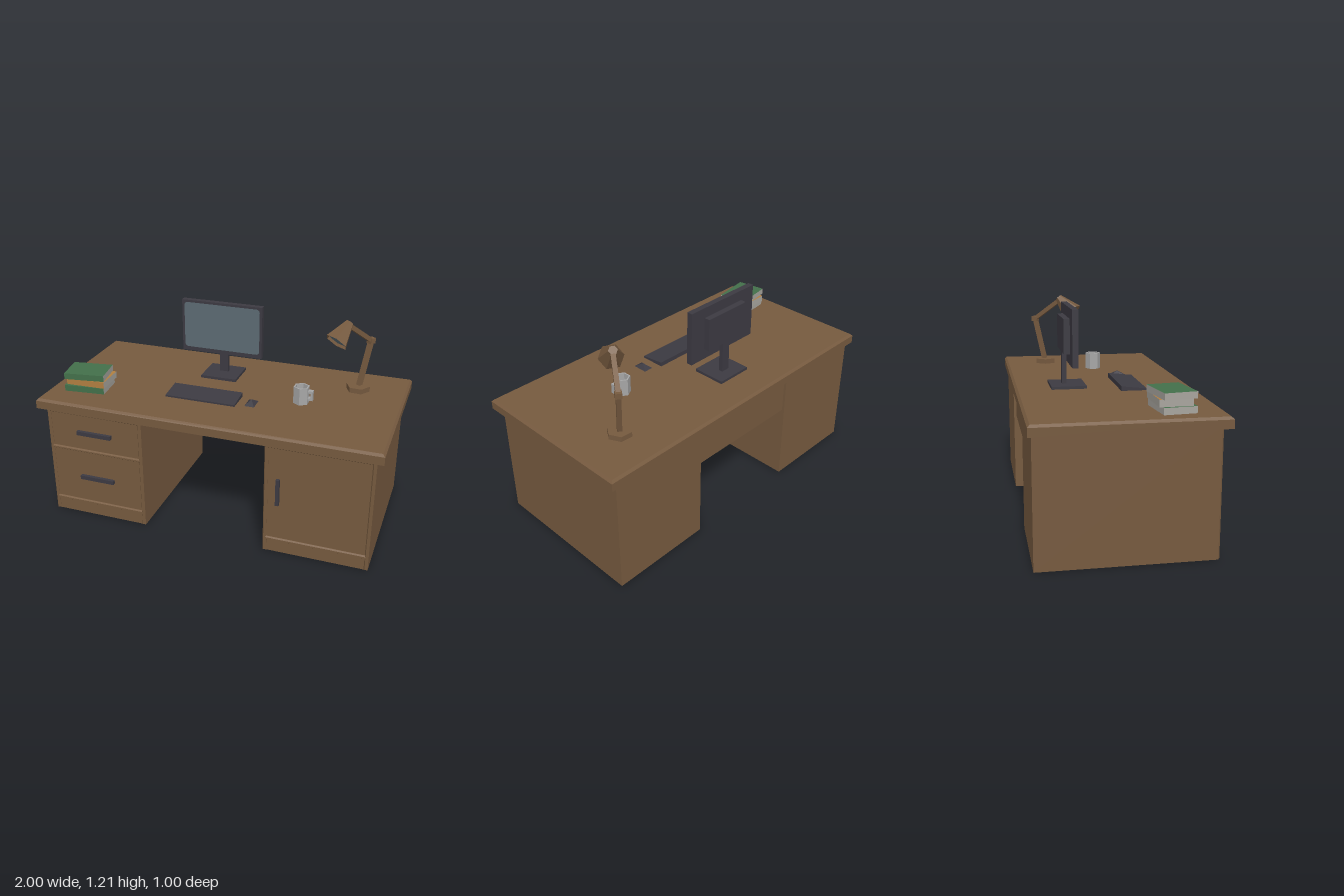
import * as THREE from 'three';

const mat = (name, color) => new THREE.MeshStandardMaterial({ name, color, flatShading: true, side: THREE.DoubleSide });

export function createModel() {
  const wood = mat('wood', 0x765a3f);
  const dark = mat('darkPlastic', 0x3c3a42);
  const glass = mat('screenGlass', 0x5c6b73);
  const green = mat('greenCover', 0x43704a);
  const orange = mat('orangeCover', 0xb27f40);
  const paper = mat('paper', 0xa8a59e);
  const ceramic = mat('ceramic', 0xa6a6a6);

  const root = new THREE.Group();
  root.name = 'desk';
  const add = (name, geo, material, pos = [0, 0, 0], parent = root) => {
    const m = new THREE.Mesh(geo, material);
    m.name = name;
    m.position.set(...pos);
    parent.add(m);
    return m;
  };
  // Box given by its lower and upper limits on each axis
  const box = (name, material, [x0, x1], [y0, y1], [z0, z1], parent) =>
    add(name, new THREE.BoxGeometry(x1 - x0, y1 - y0, z1 - z0), material,
      [(x0 + x1) / 2, (y0 + y1) / 2, (z0 + z1) / 2], parent);
  // Move every vertex of a geometry by a rule
  const reshape = (geo, rule) => {
    const p = geo.attributes.position, v = new THREE.Vector3();
    for (let i = 0; i < p.count; i++) {
      v.fromBufferAttribute(p, i);
      rule(v);
      p.setXYZ(i, v.x, v.y, v.z);
    }
    const out = geo.toNonIndexed();
    out.computeVertexNormals();
    return out;
  };
  const polygon = (pts, Type = THREE.Shape) => new Type(pts.map(p => new THREE.Vector2(...p)));
  const rect = (x0, x1, y0, y1) => polygon([[x0, y0], [x0, y1], [x1, y1], [x1, y0]], THREE.Path);

  // Desktop with a chamfered upper edge
  add('desktop', reshape(new THREE.BoxGeometry(2, 0.06, 1, 1, 2, 1), v => {
    if (v.y > 0.02) { v.x *= 0.987; v.z *= 0.974; }
    else if (v.y > -0.01) v.y = 0.017;
  }), wood, [0, 0.72, 0]);

  // Pedestals: a body and a bevelled front frame with openings and a toe notch
  const pedestal = (name, x0, x1, openings) => {
    const g = new THREE.Group();
    g.name = name;
    root.add(g);
    box('body', wood, [x0, x1], [0, 0.695], [-0.48, 0.452], g);
    const a = x0 + 0.022, b = x1 - 0.022;
    const frame = polygon([[x0, 0], [a, 0], [a, 0.07], [b, 0.07], [b, 0], [x1, 0], [x1, 0.695], [x0, 0.695]]);
    openings.forEach(([lo, hi]) => frame.holes.push(rect(a, b, lo, hi)));
    add('frontFrame', new THREE.ExtrudeGeometry(frame, {
      depth: 0.004, bevelEnabled: true, bevelSegments: 1,
      bevelThickness: 0.008, bevelSize: 0.006, bevelOffset: -0.006,
    }), wood, [0, 0, 0.45], g);
    return g;
  };
  const drawers = pedestal('drawerPedestal', -0.96, -0.365, [[0.095, 0.422], [0.443, 0.66]]);
  const cupboard = pedestal('cupboardPedestal', 0.36, 0.96, [[0.095, 0.66]]);
  for (const y of [0.257, 0.552])
    box('drawerHandle', dark, [-0.77, -0.555], [y - 0.012, y + 0.012], [0.452, 0.472], drawers);
  box('doorHandle', dark, [0.43, 0.45], [0.315, 0.475], [0.452, 0.472], cupboard);
  box('modestyPanel', wood, [-0.37, 0.365], [0.47, 0.695], [-0.465, -0.44]);

  // Monitor
  const monitor = new THREE.Group();
  monitor.name = 'monitor';
  root.add(monitor);
  box('standBase', dark, [-0.215, 0.005], [0.75, 0.766], [-0.3, -0.1], monitor);
  box('standNeck', dark, [-0.132, -0.078], [0.766, 0.96], [-0.23, -0.205], monitor);
  box('rearHousing', dark, [-0.255, 0.045], [0.955, 1.15], [-0.235, -0.199], monitor);
  box('screenCase', dark, [-0.355, 0.145], [0.893, 1.21], [-0.2, -0.166], monitor);
  const w = 0.235, h = 0.14, r = 0.02;
  const face = new THREE.Shape();
  [[w - r, h - r, 0], [r - w, h - r, 1], [r - w, r - h, 2], [w - r, r - h, 3]].forEach(([x, y, q]) =>
    face.absarc(x, y, r, q * Math.PI / 2, (q + 1) * Math.PI / 2, false));
  add('screen', new THREE.ShapeGeometry(face, 4), glass, [-0.105, 1.057, -0.164], monitor);

  // Keyboard wedge and peaked mouse
  add('keyboard', reshape(new THREE.BoxGeometry(0.42, 0.026, 0.145), v => {
    if (v.y > 0 && v.z > 0) v.y -= 0.016;
  }), dark, [-0.1, 0.763, 0.152]);
  const mouseGeo = new THREE.CylinderGeometry(0.003, Math.SQRT1_2, 1, 4, 1);
  mouseGeo.rotateY(Math.PI / 4);
  add('mouse', mouseGeo, dark, [0.187, 0.763, 0.15]).scale.set(0.057, 0.026, 0.09);

  // Mug with a square loop handle
  const mug = new THREE.Group();
  mug.name = 'mug';
  mug.position.set(0.447, 0.75, 0.04);
  root.add(mug);
  add('cup', new THREE.LatheGeometry(
    [[0, 0], [0.047, 0], [0.047, 0.1], [0.038, 0.1], [0.038, 0.012], [0, 0.012]]
      .map(p => new THREE.Vector2(...p)), 6), ceramic, [0, 0, 0], mug);
  for (const y of [0.022, 0.066])
    box('handleArm', ceramic, [0.038, 0.068], [y, y + 0.014], [-0.013, 0.013], mug);
  box('handleGrip', ceramic, [0.055, 0.068], [0.022, 0.08], [-0.013, 0.013], mug);

  // Stack of books, spines to the front
  [
    [green, -0.785, 0.245, 0.75, 0.036, 0.24, 6],
    [orange, -0.775, 0.235, 0.786, 0.038, 0.235, 2],
    [green, -0.79, 0.24, 0.824, 0.036, 0.238, 8.7],
  ].forEach(([cover, x, z, y, t, len, deg]) => {
    add('book', new THREE.BoxGeometry(len, t, 0.175), [paper, paper, cover, cover, cover, paper],
      [x, y + t / 2, z]).rotation.y = THREE.MathUtils.degToRad(deg);
  });

  // Desk lamp
  const lamp = new THREE.Group();
  lamp.name = 'lamp';
  root.add(lamp);
  const V = (...p) => new THREE.Vector3(...p);
  const up = V(0, 1, 0);
  const turn = Math.atan2(-0.165, 0.24);
  const arm = (name, a, b, t) => {
    const d = b.clone().sub(a);
    const m = add(name, new THREE.BoxGeometry(t, d.length(), t), wood,
      a.clone().add(b).multiplyScalar(0.5).toArray(), lamp);
    m.quaternion.setFromUnitVectors(up, d.normalize())
      .multiply(new THREE.Quaternion().setFromAxisAngle(up, turn));
  };
  add('lampBase', new THREE.CylinderGeometry(0.07, 0.07, 0.03, 6), wood, [0.718, 0.765, -0.24], lamp)
    .rotation.y = turn;
  const elbow = V(0.763, 1.042, -0.3);
  arm('lowerArm', V(0.722, 0.775, -0.245), elbow, 0.026);
  arm('upperArm', elbow, V(0.662, 1.165, -0.155), 0.026);
  add('elbowJoint', new THREE.BoxGeometry(0.036, 0.032, 0.036), wood, elbow.toArray(), lamp).rotation.y = turn;

  const top = V(0.657, 1.185, -0.15), mouth = V(0.605, 1.093, -0.07);
  const axis = top.clone().sub(mouth), len = axis.length();
  const shade = new THREE.Group();
  shade.name = 'lampShade';
  shade.position.copy(mouth);
  shade.quaternion.setFromUnitVectors(up, axis.normalize());
  lamp.add(shade);
  add('shadeCone', new THREE.CylinderGeometry(0.025, 0.07, len, 6, 1, true), wood, [0, len / 2, 0], shade);
  add('shadeCap', new THREE.CylinderGeometry(0.025, 0.025, 0.008, 6), wood, [0, len, 0], shade);
  add('lampLight', new THREE.CylinderGeometry(0.058, 0.058, 0.004, 6), glass, [0, 0.016, 0], shade);

  return root;
}
